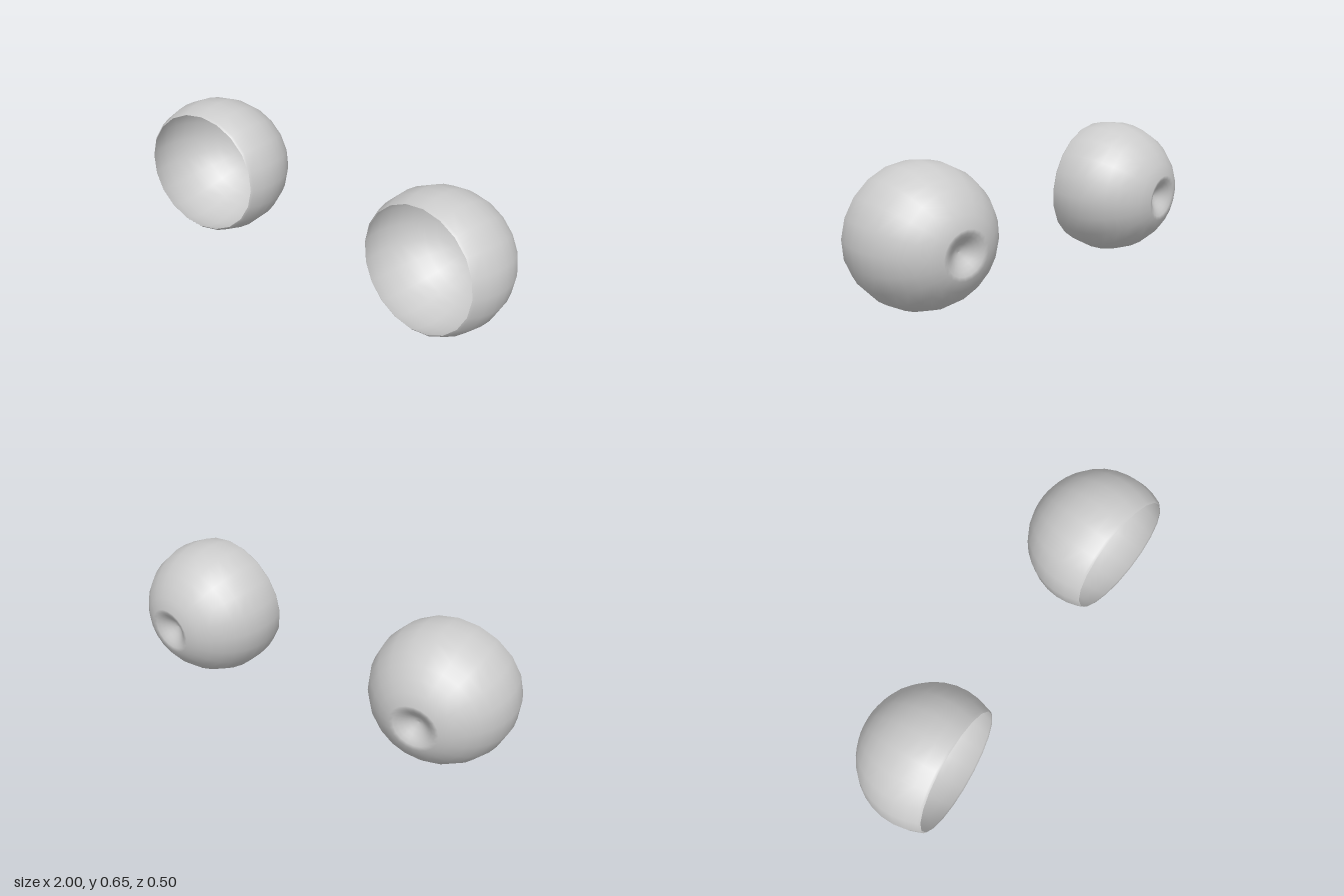
import * as THREE from 'three';

const R = 0.33;          // shell radius
const DIMPLE = 0.115;    // radius of the hollow at the back
const RIM = 0.13;        // height of the open rim above the shell's centre

// Half section, from the middle of the dimple round to the open rim
function shellProfile() {
  const points = [];
  const edge = Math.asin(DIMPLE / R);
  const edgeY = -R * Math.cos(edge);
  for (let i = 0; i < 6; i++) {
    const t = i / 6;
    const depth = 0.055 * (0.5 + 0.5 * Math.cos(Math.PI * t));
    points.push(new THREE.Vector2(DIMPLE * t, edgeY + depth));
  }
  const end = Math.PI - Math.acos(RIM / R);
  const steps = 9;
  for (let i = 0; i <= steps; i++) {
    const a = edge + (end - edge) * i / steps;
    points.push(new THREE.Vector2(R * Math.sin(a), -R * Math.cos(a)));
  }
  // narrow lip turned slightly inward
  points.push(new THREE.Vector2(R * Math.sin(end) - 0.009, RIM + 0.01));
  return points;
}

export function createModel() {
  const group = new THREE.Group();
  group.name = 'cupPair';
  const grey = new THREE.MeshStandardMaterial({ color: 0xcccccc, side: THREE.DoubleSide });
  grey.name = 'light grey';

  // Two open shells, each turned a little towards the middle and upwards
  for (const side of [1, -1]) {
    const geometry = new THREE.LatheGeometry(shellProfile(), 20);
    geometry.rotateX(Math.PI / 2);
    geometry.scale(1.03, 0.985, 1);
    const axis = new THREE.Vector3(-0.1 * side, 0.086, 1).normalize();
    const cup = new THREE.Mesh(geometry, grey);
    cup.name = side > 0 ? 'leftCup' : 'rightCup';
    cup.quaternion.setFromUnitVectors(new THREE.Vector3(0, 0, 1), axis);
    cup.position.set(0.66 * side, 0.327, 0.077);
    group.add(cup);
  }
  return group;
}
